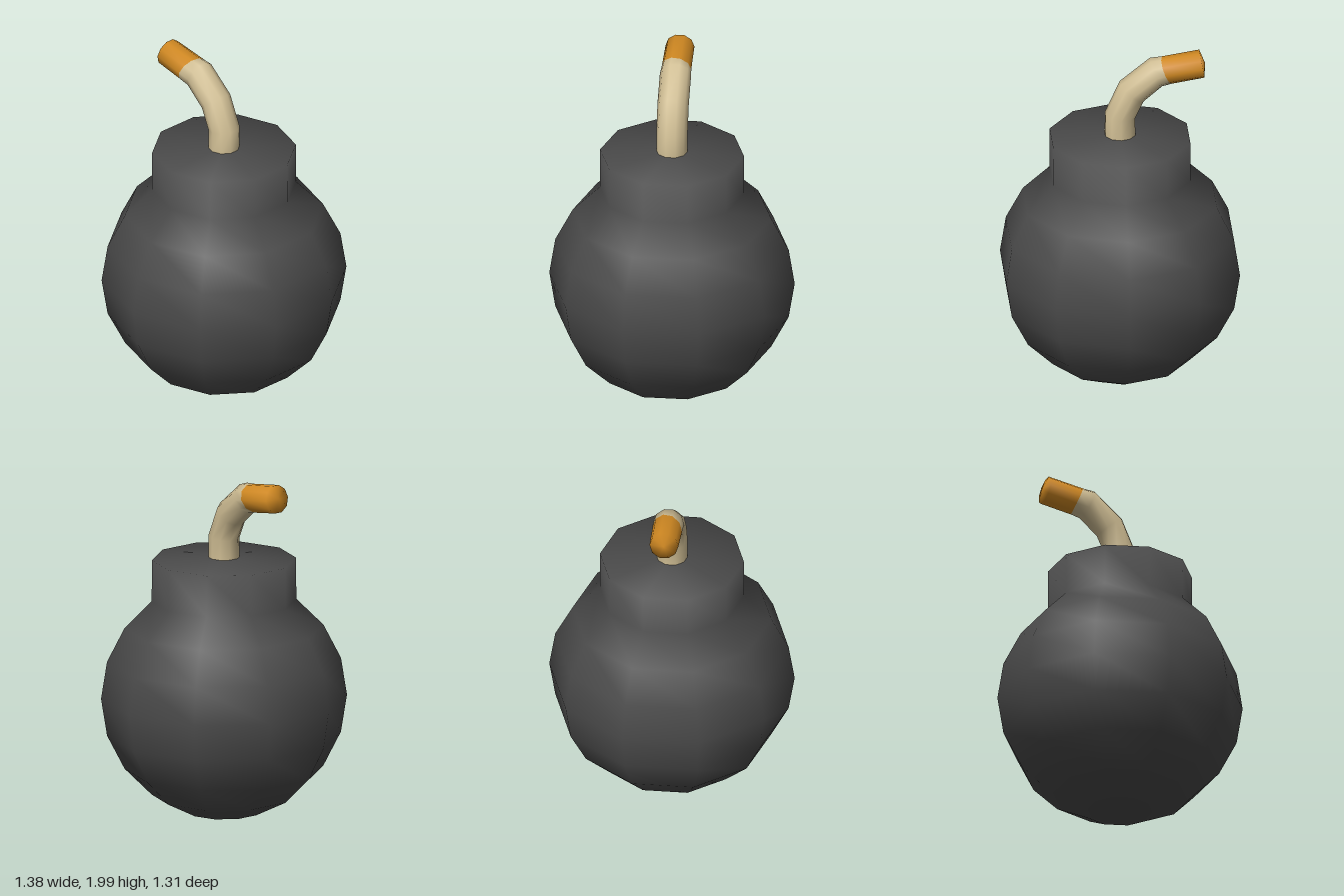
import * as THREE from 'three';

const SIDES = 10;
const iron = new THREE.MeshStandardMaterial({ color: 0x4a4a4a });
iron.name = 'darkIron';
const cord = new THREE.MeshStandardMaterial({ color: 0xd0be94 });
cord.name = 'beigeCord';
const ember = new THREE.MeshStandardMaterial({ color: 0xcf8822 });
ember.name = 'orangeEmber';

// Round body and neck turned as one smooth ten-sided profile
function bodyGeometry() {
  const R = 0.69;
  const profile = [];
  for (let i = 0; i <= 8; i++) {
    const a = (i * Math.PI) / 10;
    profile.push(new THREE.Vector2(i ? R * Math.sin(a) : 0, 0.693 - R * Math.cos(a)));
  }
  profile.push(new THREE.Vector2(0.405, 1.488), new THREE.Vector2(0, 1.505));
  return new THREE.LatheGeometry(profile, SIDES, Math.PI / 2);
}

// Bent fuse: rings of [y, z, tilt, radius, sideways skew], closed by a low dome
function fuseGeometry() {
  const rings = [
    [1.49, 0, 0, 0.088, 0],
    [1.62, 0, 0.12, 0.088, 0],
    [1.765, -0.065, 0.7, 0.088, 0],
    [1.88, -0.202, 1.18, 0.088, 0],
    [1.89, -0.264, 1.18, 0.084, 0.18],
    [1.922, -0.46, 1.4, 0.081, 0],
  ];
  const emberRing = 4;
  const pos = [];
  const index = [];
  for (const [y, z, t, r, skew] of rings) {
    for (let k = 0; k < SIDES; k++) {
      const a = (k / SIDES) * Math.PI * 2;
      const x = r * Math.cos(a);
      const n = r * Math.sin(a);
      pos.push(x, y + n * Math.sin(t), z + n * Math.cos(t) + skew * x);
    }
  }
  pos.push(0, 1.927, -0.477);
  const apex = rings.length * SIDES;
  for (let i = 0; i < rings.length; i++) {
    for (let k = 0; k < SIDES; k++) {
      const a = i * SIDES + k;
      const b = i * SIDES + ((k + 1) % SIDES);
      if (i < rings.length - 1) index.push(a, a + SIDES, b, b, a + SIDES, b + SIDES);
      else index.push(a, apex, b);
    }
  }
  const g = new THREE.BufferGeometry();
  g.setAttribute('position', new THREE.Float32BufferAttribute(pos, 3));
  g.setIndex(index);
  g.computeVertexNormals();
  const split = emberRing * SIDES * 6;
  g.addGroup(0, split, 0);
  g.addGroup(split, index.length - split, 1);
  return g;
}

export function createModel() {
  const model = new THREE.Group();
  model.name = 'bomb';
  const body = new THREE.Mesh(bodyGeometry(), iron);
  body.name = 'body';
  const fuse = new THREE.Mesh(fuseGeometry(), [cord, ember]);
  fuse.name = 'fuse';
  model.add(body, fuse);
  return model;
}
